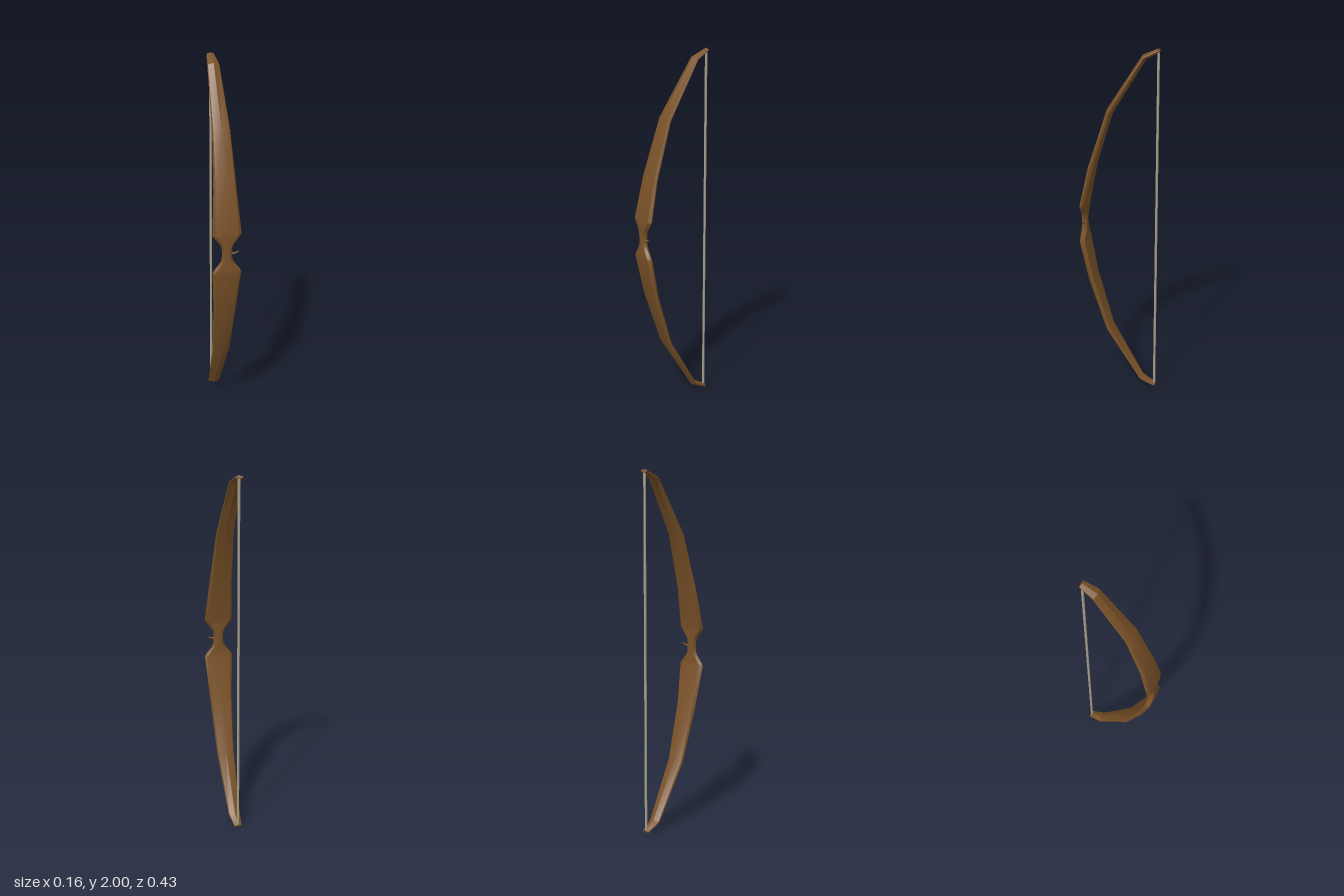
import * as THREE from 'three';
import { toCreasedNormals } from 'three/addons/utils/BufferGeometryUtils.js';

const MID = 1.003;

// Upper half stations: height above grip centre, z, half width, bevel half width, half thickness, bevel height ratio
const HALF = [
  [0.015, 0.199, 0.028, 0.019, 0.019, 0.75],
  [0.036, 0.199, 0.031, 0.021, 0.019, 0.75],
  [0.058, 0.199, 0.043, 0.031, 0.019, 0.75],
  [0.080, 0.199, 0.061, 0.047, 0.019, 0.75],
  [0.096, 0.199, 0.073, 0.057, 0.019, 0.75],
  [0.108, 0.198, 0.080, 0.065, 0.020, 0.7],
  [0.335, 0.151, 0.064, 0.054, 0.020, 0.65],
  [0.642, 0.056, 0.049, 0.044, 0.019, 0.5],
  [0.949, -0.131, 0.033, 0.030, 0.015, 0.3],
  [0.989, -0.209, 0.021, 0.019, 0.011, 0.3],
];

// Lofts eight-sided sections along the bow's curve
function bowGeometry() {
  const rows = [...HALF.map(([h, ...r]) => [-h, ...r]).reverse(), ...HALF];
  const pos = [], idx = [];
  rows.forEach(([h, z, w, b, t, k], i) => {
    // Mitred normal of the curve in the yz plane
    const dir = (a, c) => new THREE.Vector2(c[0] - a[0], c[1] - a[1]).normalize();
    const before = i > 0 ? dir(rows[i - 1], rows[i]) : dir(rows[0], rows[1]);
    const after = i < rows.length - 1 ? dir(rows[i], rows[i + 1]) : before;
    const tan = before.clone().add(after).normalize();
    const section = [[w, 0], [b, t * k], [0, t], [-b, t * k], [-w, 0], [-b, -t * k], [0, -t], [b, -t * k]];
    for (const [x, n] of section) pos.push(x, MID + h - tan.y * n, z + tan.x * n);
  });
  const N = 8, last = (rows.length - 1) * N;
  for (let i = 0; i < rows.length - 1; i++) {
    for (let j = 0; j < N; j++) {
      const a = i * N + j, b = i * N + (j + 1) % N;
      idx.push(a, b, a + N, b, b + N, a + N);
    }
  }
  // End caps
  for (let j = 1; j < N - 1; j++) {
    idx.push(0, j + 1, j, last, last + j, last + j + 1);
  }
  const g = new THREE.BufferGeometry();
  g.setAttribute('position', new THREE.Float32BufferAttribute(pos, 3));
  g.setIndex(orient(g, idx));
  return toCreasedNormals(g, 0.5);
}

// Flips the winding of a closed surface when its signed volume is negative
function orient(g, idx) {
  const p = g.attributes.position, v = [0, 1, 2].map(() => new THREE.Vector3());
  let volume = 0;
  for (let i = 0; i < idx.length; i += 3) {
    v.forEach((q, n) => q.fromBufferAttribute(p, idx[i + n]));
    volume += v[0].dot(v[1].clone().cross(v[2]));
  }
  if (volume < 0) {
    for (let i = 0; i < idx.length; i += 3) [idx[i + 1], idx[i + 2]] = [idx[i + 2], idx[i + 1]];
  }
  return idx;
}

export function createModel() {
  const wood = new THREE.MeshStandardMaterial({ name: 'wood', color: 0x7a5228 });
  const cord = new THREE.MeshStandardMaterial({ name: 'cord', color: 0xa8a08c });
  const group = new THREE.Group();
  group.name = 'bow';
  const add = (name, geometry, material) => {
    const mesh = new THREE.Mesh(geometry, material);
    mesh.name = name;
    group.add(mesh);
    return mesh;
  };

  // Limbs and grip in one carved piece
  add('limbsAndGrip', bowGeometry(), wood);

  // String between the two tips
  add('bowString', new THREE.CylinderGeometry(0.007, 0.007, 1.965, 8), cord).position.set(0, MID, -0.205);

  // Small upturned arrow rest on the left of the grip
  const curve = new THREE.CatmullRomCurve3([
    new THREE.Vector3(0.018, 1.0, 0.2),
    new THREE.Vector3(0.045, 1.003, 0.2),
    new THREE.Vector3(0.066, 1.013, 0.2),
  ]);
  const rest = new THREE.TubeGeometry(curve, 5, 0.008, 6);
  // Taper the rest toward its tip
  const p = rest.attributes.position, c = new THREE.Vector3(), q = new THREE.Vector3();
  for (let i = 0; i < p.count; i++) {
    const u = Math.floor(i / 7) / 5;
    curve.getPointAt(u, c);
    q.fromBufferAttribute(p, i).sub(c).multiplyScalar(1 - 0.7 * u).add(c);
    p.setXYZ(i, q.x, q.y, q.z);
  }
  rest.computeVertexNormals();
  add('arrowRest', rest, wood);
  return group;
}
